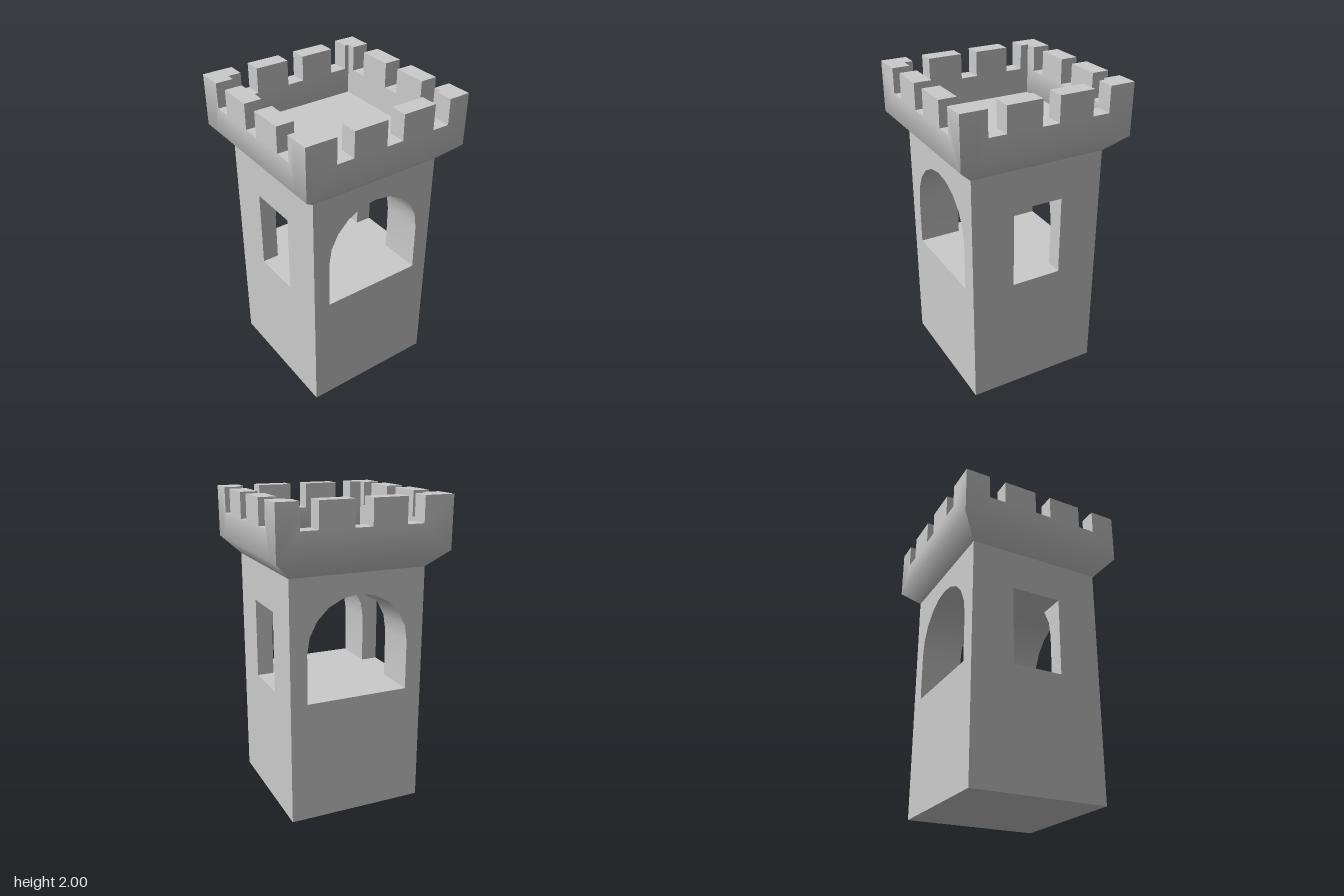
import * as THREE from 'three';
import { mergeGeometries, toCreasedNormals } from 'three/addons/utils/BufferGeometryUtils.js';

const HALF = 0.444;          // half width of the shaft
const CROWN = 0.555;         // half width of the crown
const SHAFT_TOP = 1.56, DECK = 1.67, CRENEL = 1.84, TOP = 2;
const SILL = 0.78, SPRING = 1.095, ARCH = 0.335;
const WINDOW_HALF = 0.165, WINDOW_TOP = 1.3;

const toShape = (points) => new THREE.Shape(points.map(([x, y]) => new THREE.Vector2(x, y)));

function extrude(shape, depth, z) {
  return new THREE.ExtrudeGeometry(shape, { depth, bevelEnabled: false }).translate(0, 0, z);
}

function archPoints() {
  const points = [];
  for (let i = 0; i <= 10; i++) {
    const a = (i / 10) * Math.PI;
    points.push([ARCH * Math.cos(a), SPRING + ARCH * Math.sin(a)]);
  }
  return points;
}

// Shaft: arched passage along z, crossed by square windows along x
function shaftGeometry() {
  const arch = archPoints();
  const full = toShape([[-HALF, 0], [HALF, 0], [HALF, SHAFT_TOP], [-HALF, SHAFT_TOP]]);
  full.holes.push(toShape([[-ARCH, SILL], [ARCH, SILL], ...arch]));

  const base = toShape([[-HALF, 0], [HALF, 0], [HALF, SILL], [-HALF, SILL]]);

  // vault over the windows, starting where the window heads meet the arch
  const [a, b] = [arch[2], arch[3]];
  const cutX = a[0] + (b[0] - a[0]) * (WINDOW_TOP - a[1]) / (b[1] - a[1]);
  const vault = toShape([
    [HALF, WINDOW_TOP], [HALF, SHAFT_TOP], [-HALF, SHAFT_TOP], [-HALF, WINDOW_TOP],
    [-cutX, WINDOW_TOP],
    ...arch.filter((p) => p[1] > WINDOW_TOP).reverse(),
    [cutX, WINDOW_TOP],
  ]);

  const end = HALF - WINDOW_HALF;
  return toCreasedNormals(mergeGeometries([
    extrude(full, end, WINDOW_HALF),
    extrude(full, end, -HALF),
    extrude(base, 2 * WINDOW_HALF, -WINDOW_HALF),
    extrude(vault, 2 * WINDOW_HALF, -WINDOW_HALF),
  ]), 0.5);
}

// Crenellated wall of given half length, notched at each [from, to] gap
function parapetWall(half, gaps) {
  const points = [[half, DECK], [half, TOP]];
  for (const [from, to] of [...gaps].reverse()) {
    points.push([to, TOP], [to, CRENEL], [from, CRENEL], [from, TOP]);
  }
  points.push([-half, TOP], [-half, DECK]);
  return extrude(toShape(points), CROWN - HALF, -(CROWN - HALF) / 2);
}

// Crown: flared corbel with a flat deck, ringed by four battlement walls
function crownGeometry() {
  const mid = (CROWN + HALF) / 2;
  const frontGaps = [[-0.361, -0.25], [-0.029, 0.083], [0.304, 0.415]];
  const sideGaps = [[-0.39, -0.279], [-0.055, 0.055], [0.279, 0.39]];

  const corbel = new THREE.CylinderGeometry(CROWN * Math.SQRT2, HALF * Math.SQRT2, DECK - SHAFT_TOP, 4)
    .rotateY(Math.PI / 4).translate(0, (DECK + SHAFT_TOP) / 2, 0).toNonIndexed();
  corbel.computeVertexNormals();

  const parts = [corbel];
  for (const s of [-1, 1]) {
    parts.push(parapetWall(CROWN, frontGaps).translate(0, 0, s * mid));
    parts.push(parapetWall(HALF, sideGaps).rotateY(Math.PI / 2).translate(s * mid, 0, 0));
  }
  const geometry = mergeGeometries(parts);

  // blend the shading where the flare meets the upright outer faces
  const pos = geometry.attributes.position, nor = geometry.attributes.normal;
  for (let i = 0; i < pos.count; i++) {
    const reach = Math.max(Math.abs(pos.getX(i)), Math.abs(pos.getZ(i)));
    if (Math.abs(pos.getY(i) - DECK) > 1e-3 || reach < CROWN - 1e-3 || Math.abs(nor.getY(i)) > 0.9) continue;
    const n = new THREE.Vector3(nor.getX(i), 0, nor.getZ(i)).normalize().multiplyScalar(0.924);
    nor.setXYZ(i, n.x, -0.383, n.z);
  }
  return geometry;
}

export function createModel() {
  const material = new THREE.MeshStandardMaterial({ color: 0xcccccc });
  const tower = new THREE.Group();
  tower.name = 'tower';
  const addPart = (name, geometry) => {
    const mesh = new THREE.Mesh(geometry, material);
    mesh.name = name;
    tower.add(mesh);
  };
  addPart('shaft', shaftGeometry());
  addPart('battlements', crownGeometry());
  return tower;
}
